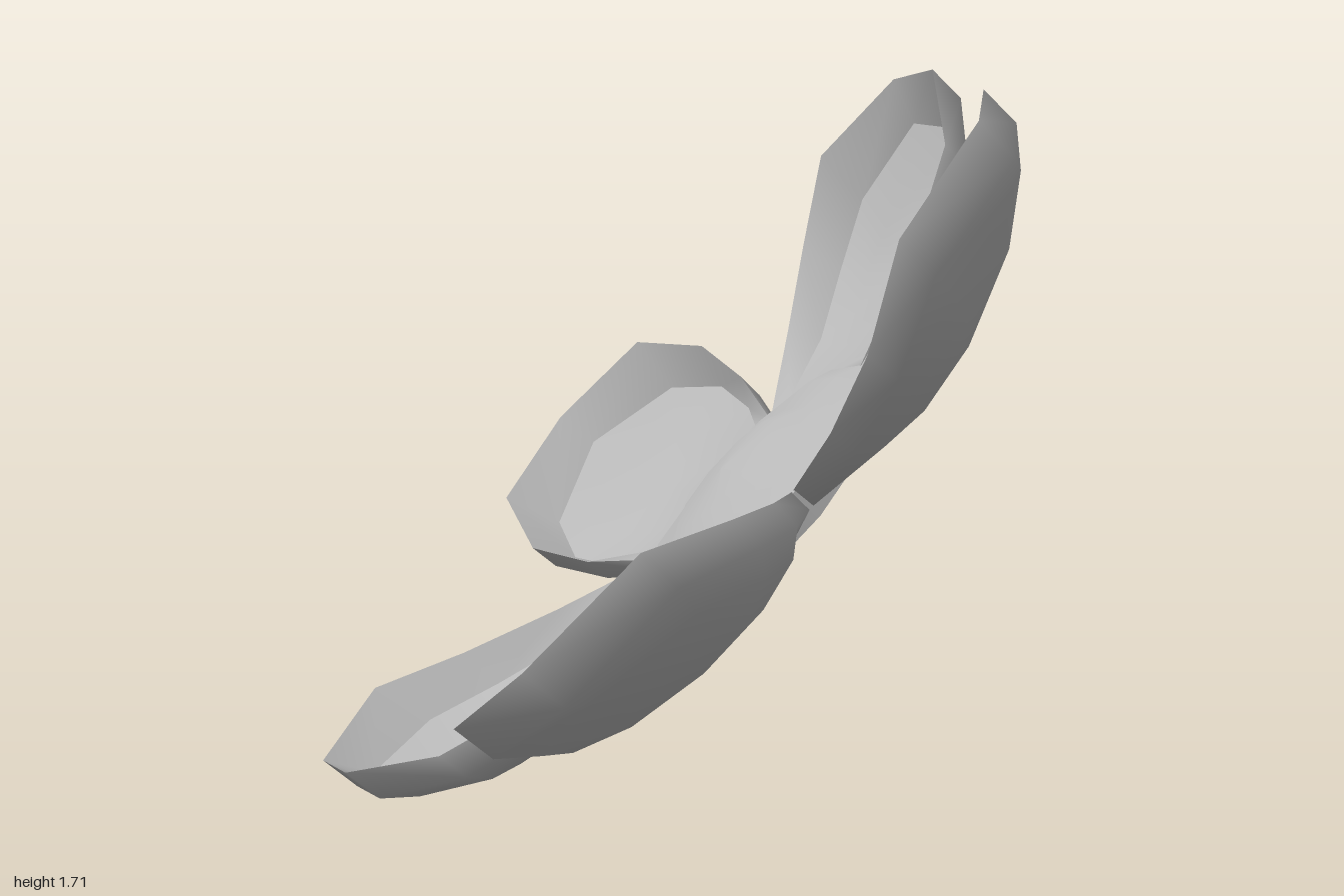
import * as THREE from 'three';
import { mergeVertices } from 'three/addons/utils/BufferGeometryUtils.js';

const PETALS = 5;

// Half outline of a petal: distance from the axis, half width, front and back rim height
const HALF = [
  [0.385, 0, 0.03, -0.025],
  [0.315, 0.23, 0.03, -0.025],
  [0.6, 0.32, 0.11, 0.04],
  [0.86, 0.365, 0.205, 0.125],
  [1.06, 0.29, 0.325, 0.225],
  [1.185, 0, 0.34, 0.235],
];
const OUTLINE = [
  ...HALF,
  ...HALF.slice(1, -1).reverse().map(([r, t, f, b]) => [r, -t, f, b]),
];
const MID = 0.76; // petal middle, distance from the axis
const FRONT = 2, BACK = 3; // outline columns of the rim heights

// Joins closed rings of points into a smooth surface
function loft(rings, flip) {
  const n = rings[0].length;
  const index = [];
  for (let k = 0; k < rings.length - 1; k++) {
    for (let i = 0; i < n; i++) {
      const j = (i + 1) % n;
      const a = k * n + i, b = k * n + j, c = a + n, d = b + n;
      if (flip) index.push(a, d, b, a, c, d);
      else index.push(a, b, d, a, d, c);
    }
  }
  let geo = new THREE.BufferGeometry();
  geo.setAttribute('position', new THREE.Float32BufferAttribute(rings.flat(2), 3));
  geo.setIndex(index);
  geo = mergeVertices(geo);
  geo.computeVertexNormals();
  return geo;
}

// Outline shrunk by s towards the petal middle and sunk from the rim to the cup floor
function ring(rim, s, sink, drop) {
  return OUTLINE.map((p) => {
    const r = MID + (p[0] - MID) * s;
    const floor = 0.02 + 0.5 * (r - 0.5) ** 2 - drop;
    return [r, THREE.MathUtils.lerp(p[rim], floor, sink), p[1] * s];
  });
}

export function createModel() {
  const grey = new THREE.MeshStandardMaterial({ color: 0xb8b8b8 });
  grey.name = 'grey';

  const flower = new THREE.Group();
  flower.name = 'flower';

  const add = (parent, name, geo) => {
    const mesh = new THREE.Mesh(geo, grey);
    mesh.name = name;
    parent.add(mesh);
  };

  // Petals: steep inner wall, shallow floor, and a back that rounds over into the rim
  const rim = ring(FRONT, 1, 0, 0);
  const wallFoot = ring(FRONT, 0.86, 0.9, 0);
  const wall = loft([rim, wallFoot], false);
  const floor = loft([wallFoot, ring(FRONT, 0.5, 1, 0.01), ring(FRONT, 0, 1, 0.015)], false);
  const back = loft([
    rim,
    ring(BACK, 0.99, 0, 0),
    ring(BACK, 0.83, 0.55, 0.06),
    ring(BACK, 0.5, 0.9, 0.065),
    ring(BACK, 0, 1, 0.07),
  ], true);
  for (let k = 0; k < PETALS; k++) {
    const petal = new THREE.Group();
    petal.name = 'petal' + (k + 1);
    add(petal, 'petalWall', wall);
    add(petal, 'petalFloor', floor);
    add(petal, 'petalBack', back);
    petal.rotation.y = (k * Math.PI * 2) / PETALS;
    flower.add(petal);
  }

  // Ten-sided centre: flat back, short side and a gently raised face
  const lathe = (pts) => new THREE.LatheGeometry(
    pts.map(([x, y]) => new THREE.Vector2(x, y)), PETALS * 2).rotateY(Math.PI / 2);
  add(flower, 'centreBack', lathe([[0, -0.05], [0.402, -0.05]]));
  add(flower, 'centreSide', lathe([[0.402, -0.05], [0.405, 0.03]]));
  add(flower, 'centreFace', lathe([[0.405, 0.03], [0.34, 0.058], [0.24, 0.062], [0.17, 0.095], [0, 0.11]]));

  // Tilt the flower so that it faces up, forward and to its right
  const normal = new THREE.Vector3(-0.523, 0.668, 0.528).normalize();
  const side = new THREE.Vector3(-0.827, -0.249, -0.505);
  side.addScaledVector(normal, -side.dot(normal)).normalize();
  const basis = new THREE.Matrix4().makeBasis(side, normal, side.clone().cross(normal));
  flower.quaternion.setFromRotationMatrix(basis);
  flower.position.set(0.173, 0.716, -0.154);

  const root = new THREE.Group();
  root.name = 'tiltedFlower';
  root.add(flower);
  return root;
}
